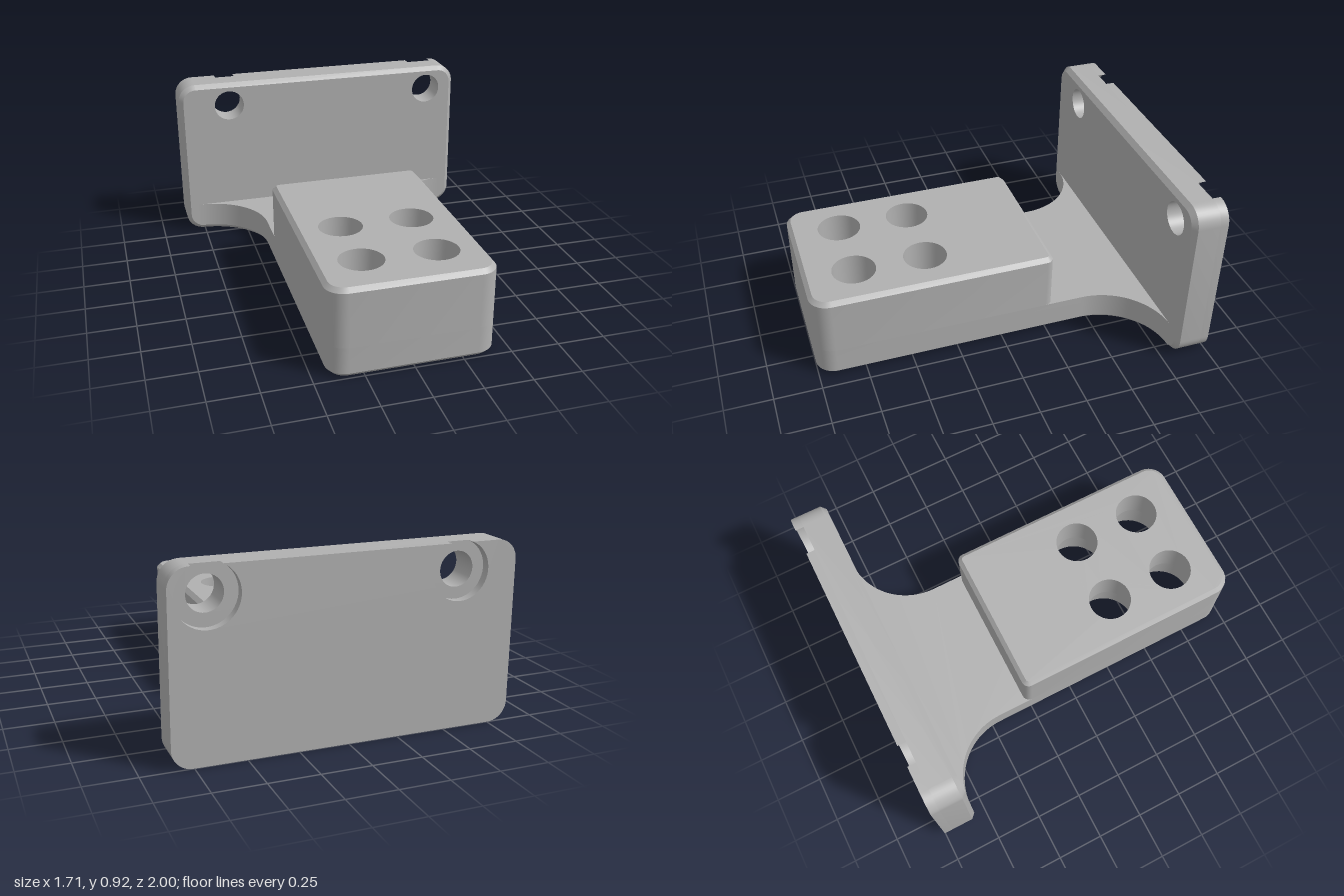
import * as THREE from 'three';
import { toCreasedNormals } from 'three/addons/utils/BufferGeometryUtils.js';

const V = (x, y) => new THREE.Vector2(x, y);

// points along an arc, from angle a to angle b
function arc(cx, cy, r, a, b, n = 10) {
  return Array.from({ length: n + 1 }, (_, i) => {
    const t = a + ((b - a) * i) / n;
    return V(cx + r * Math.cos(t), cy + r * Math.sin(t));
  });
}

// clockwise circle, so that walls built on it face the axis
const hole = ([x, y], r) => arc(x, y, r, 0, -2 * Math.PI, 48).slice(0, -1);

// shrink a counter-clockwise outline by d with mitred corners
function inset(pts, d) {
  const n = pts.length;
  return pts.map((p, i) => {
    const e0 = p.clone().sub(pts[(i + n - 1) % n]).normalize();
    const e1 = pts[(i + 1) % n].clone().sub(p).normalize();
    const m = V(-e0.y - e1.y, e0.x + e1.x);
    return p.clone().addScaledVector(m, d / (1 + e0.dot(e1)));
  });
}

// band of wall through successive [outline, height] sections
function walls(out, sections) {
  for (let s = 0; s + 1 < sections.length; s++) {
    const [a, wa] = sections[s], [b, wb] = sections[s + 1];
    a.forEach((p, i) => {
      const j = (i + 1) % a.length;
      out.push(p.x, p.y, wa, a[j].x, a[j].y, wa, b[j].x, b[j].y, wb);
      out.push(p.x, p.y, wa, b[j].x, b[j].y, wb, b[i].x, b[i].y, wb);
    });
  }
}

// flat face with holes at height w, facing up or down the extrusion axis
function cap(out, outline, holes, w, up) {
  const all = [outline, ...holes].flat();
  for (const f of THREE.ShapeUtils.triangulateShape(outline, holes)) {
    for (const k of up ? f : [f[0], f[2], f[1]]) out.push(all[k].x, all[k].y, w);
  }
}

function makeMesh(name, positions, material, upright) {
  const g = new THREE.BufferGeometry();
  g.setAttribute('position', new THREE.Float32BufferAttribute(positions, 3));
  if (upright) g.rotateX(-Math.PI / 2);
  const mesh = new THREE.Mesh(toCreasedNormals(g, 0.5), material);
  mesh.name = name;
  return mesh;
}

export function createModel() {
  const group = new THREE.Group();
  group.name = 'mountingBracket';
  const grey = new THREE.MeshStandardMaterial({ color: 0xb0b0b0 });
  grey.name = 'grey';
  const PI = Math.PI;

  // Outlines of the foot and block lie in x and -z, heights run along y
  const front = [
    ...arc(-0.325, -0.9, 0.1, PI, 1.5 * PI),
    ...arc(0.325, -0.9, 0.1, 1.5 * PI, 2 * PI),
  ];
  const bores = [[-0.193, -0.355], [0.189, -0.355], [-0.193, -0.735], [0.189, -0.735]];
  const wide = bores.map((c) => hole(c, 0.178));
  const narrow = bores.map((c) => hole(c, 0.115));

  // Foot with curved flares that run into the plate
  const footOutline = [
    ...front,
    ...arc(0.78, 0.455, 0.355, PI, PI / 2, 24),
    V(0.78, 0.9), V(-0.78, 0.9),
    ...arc(-0.78, 0.455, 0.355, PI / 2, 0, 24),
  ];
  const footBottom = inset(footOutline, 0.025);
  const foot = [];
  cap(foot, footBottom, wide, 0, false);
  walls(foot, [[footBottom, 0], [footOutline, 0.025], [footOutline, 0.165]]);
  cap(foot, footOutline, wide, 0.165, true);
  group.add(makeMesh('flaredFoot', foot, grey, true));

  // Raised block with a chamfered top
  const blockOutline = [
    ...front,
    ...arc(0.385, 0.245, 0.04, 0, PI / 2, 6),
    ...arc(-0.385, 0.245, 0.04, PI / 2, PI, 6),
  ];
  const blockTop = inset(blockOutline, 0.022);
  const block = [];
  walls(block, [[blockOutline, 0.165], [blockOutline, 0.453], [blockTop, 0.475]]);
  cap(block, blockTop, narrow, 0.475, true);
  group.add(makeMesh('raisedBlock', block, grey, true));

  // Stepped vertical holes, wider from below
  const boreWalls = [];
  bores.forEach((_, i) =>
    walls(boreWalls, [[wide[i], 0], [wide[i], 0.28], [narrow[i], 0.28], [narrow[i], 0.475]]));
  group.add(makeMesh('blockHoles', boreWalls, grey, true));

  // Upright plate, chamfered around its front
  const W = 0.755, lo = 0.1, hi = 0.82, R = 0.1;
  const lowerEdge = [...arc(-W, lo, R, PI, 1.5 * PI), ...arc(W, lo, R, 1.5 * PI, 2 * PI)];
  const topRight = arc(W, hi, R, 0, PI / 2);
  const topLeft = arc(-W, hi, R, PI / 2, PI);
  const plateOutline = [...lowerEdge, ...topRight, ...topLeft];
  const plateFront = inset(plateOutline, 0.025);
  const screws = [[0.675, 0.785], [-0.56, 0.785]];
  const screwHoles = screws.map((c) => hole(c, 0.087));
  const step = -0.955;
  const plate = [];
  cap(plate, plateOutline, screwHoles, step, false);
  walls(plate, [[plateOutline, step], [plateOutline, -0.835], [plateFront, -0.81]]);
  cap(plate, plateFront, screwHoles, -0.81, true);
  screwHoles.forEach((h) => walls(plate, [[h, step], [h, -0.81]]));
  group.add(makeMesh('uprightPlate', plate, grey, false));

  // Back layer, cut by round recesses that break through the top edge
  const recesses = screws.map(([x, y], i) => {
    const r = [0.153, 0.146][i];
    const t = Math.asin((0.92 - y) / r);
    return arc(x, y, r, t, -PI - t, 40);
  });
  const backOutline = [...lowerEdge, ...topRight, ...recesses.flat(), ...topLeft];
  const back = [];
  cap(back, backOutline, [], -1, false);
  walls(back, [[backOutline, -1], [backOutline, step]]);
  group.add(makeMesh('recessedBack', back, grey, false));

  return group;
}
